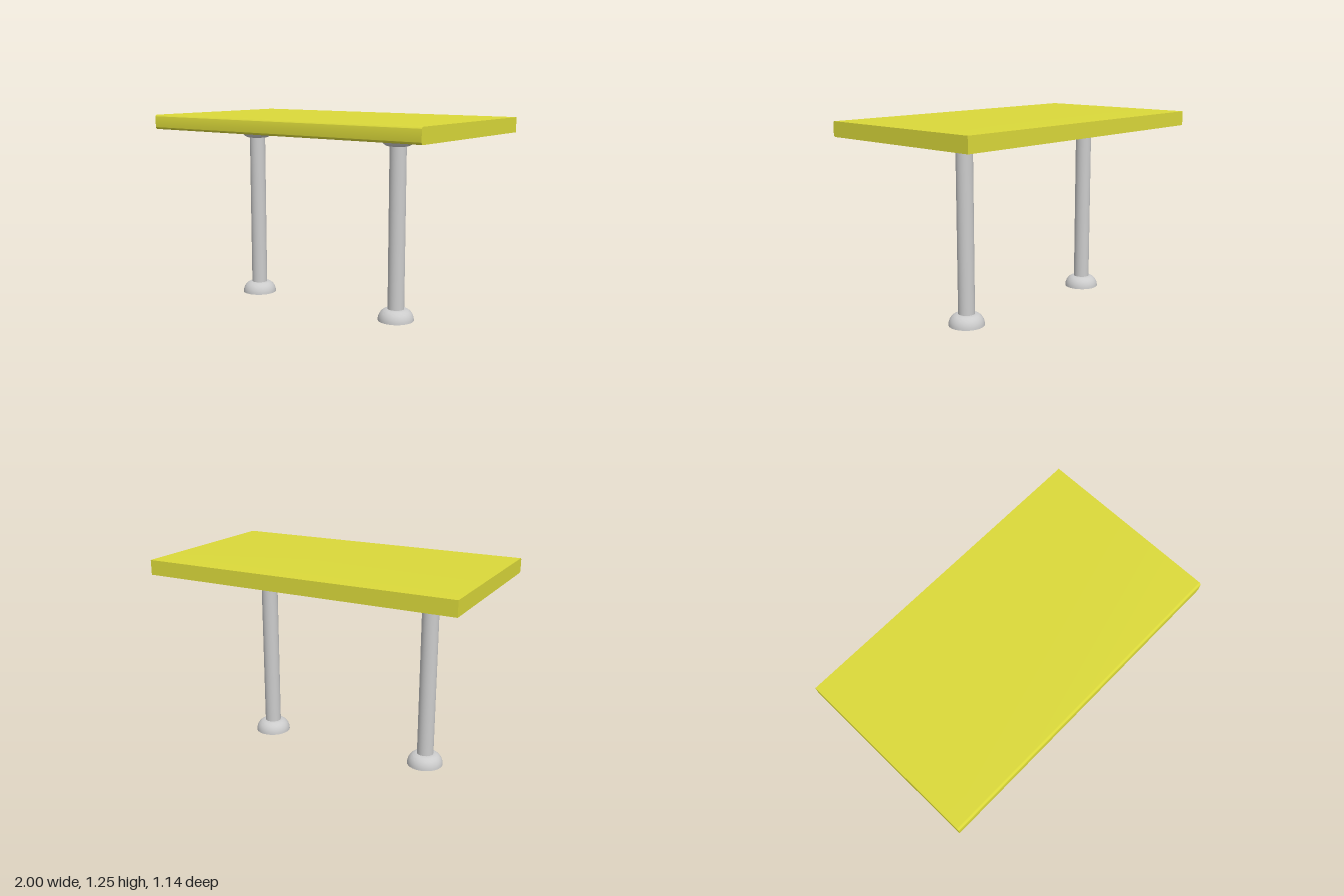
import * as THREE from 'three';
import { toCreasedNormals } from 'three/addons/utils/BufferGeometryUtils.js';

const grey = new THREE.MeshStandardMaterial({ color: 0xcccccc });
const yellow = new THREE.MeshStandardMaterial({ color: 0xdbd93a });

const HALF_DEPTH = 0.57, SLAB_BOTTOM = 1.157, SLAB_TOP = 1.25;
const FOOT_R = 0.113, POST_R = 0.052, FLANGE_H = 0.073;

// Slab section in (z, y), rounded along the front edge only, swept across x
function makeTop() {
  const r = 0.015, s = new THREE.Shape();
  s.moveTo(-HALF_DEPTH, SLAB_BOTTOM);
  s.lineTo(HALF_DEPTH - r, SLAB_BOTTOM);
  s.absarc(HALF_DEPTH - r, SLAB_BOTTOM + r, r, -Math.PI / 2, 0);
  s.lineTo(HALF_DEPTH, SLAB_TOP - r);
  s.absarc(HALF_DEPTH - r, SLAB_TOP - r, r, 0, Math.PI / 2);
  s.lineTo(-HALF_DEPTH, SLAB_TOP);
  s.closePath();
  const geo = new THREE.ExtrudeGeometry(s, { depth: 2, bevelEnabled: false, curveSegments: 8 });
  geo.translate(0, 0, -1).rotateY(-Math.PI / 2);
  const mesh = new THREE.Mesh(toCreasedNormals(geo, 0.6), yellow);
  mesh.name = 'tableTop';
  return mesh;
}

// Domed flange: flat disc below, quarter-round side, flat where the post enters
function makeFlangeGeometry() {
  const pts = [new THREE.Vector2(0, 0)];
  for (let i = 0; i <= 10; i++) {
    const a = (i / 10) * Math.PI / 2;
    pts.push(new THREE.Vector2(POST_R + (FOOT_R - POST_R) * Math.cos(a), FLANGE_H * Math.sin(a)));
  }
  pts.push(new THREE.Vector2(0, FLANGE_H));
  return toCreasedNormals(new THREE.LatheGeometry(pts, 48), 0.6);
}

export function createModel() {
  const model = new THREE.Group();
  model.name = 'table';
  model.add(makeTop());

  const flangeGeo = makeFlangeGeometry();
  const postLength = SLAB_BOTTOM - 2 * FLANGE_H;
  const postGeo = new THREE.CylinderGeometry(POST_R, POST_R, postLength, 48);

  // Two legs, set slightly off-centre
  for (const [name, x] of [['rightLeg', -0.637], ['leftLeg', 0.497]]) {
    const leg = new THREE.Group();
    leg.name = name;
    leg.position.set(x, 0, -0.012);

    const foot = new THREE.Mesh(flangeGeo, grey);
    foot.name = 'foot';
    const post = new THREE.Mesh(postGeo, grey);
    post.name = 'post';
    post.position.y = SLAB_BOTTOM / 2;
    const mount = new THREE.Mesh(flangeGeo, grey);
    mount.name = 'topMount';
    mount.rotation.x = Math.PI;
    mount.position.y = SLAB_BOTTOM;

    leg.add(foot, post, mount);
    model.add(leg);
  }
  return model;
}
